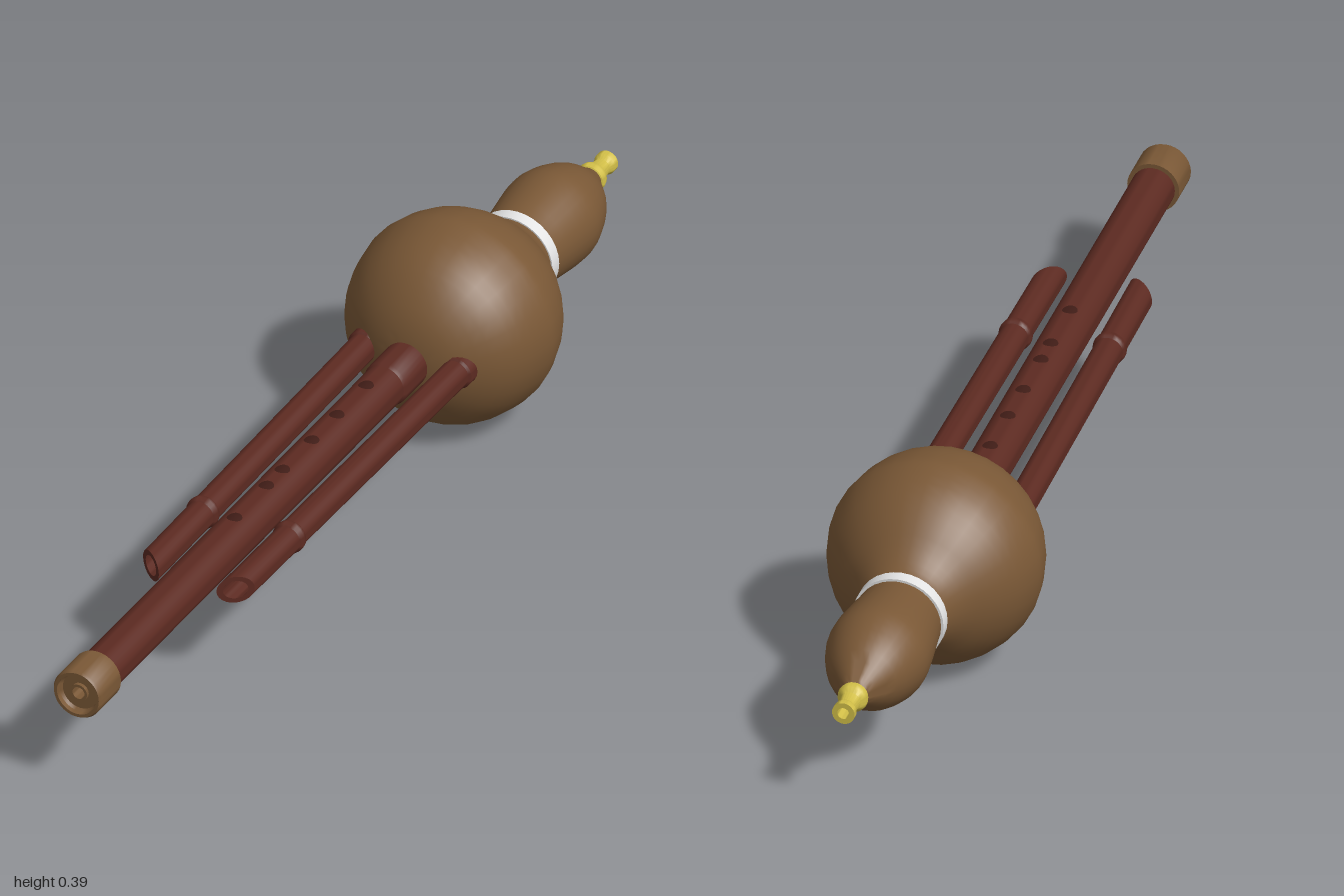
import * as THREE from 'three';
import { toCreasedNormals } from 'three/addons/utils/BufferGeometryUtils.js';

const material = (name, color) => {
  const m = new THREE.MeshStandardMaterial({ color });
  m.name = name;
  return m;
};

// Revolve [radius, z] points around the z axis
function turned(points, segments = 32, crease = 0.6) {
  const g = new THREE.LatheGeometry(points.map(([r, z]) => new THREE.Vector2(r, z)), segments);
  g.rotateX(Math.PI / 2);
  return toCreasedNormals(g, crease);
}

export function createModel() {
  const gourdBrown = material('gourd brown', 0x7a5836);
  const redwood = material('redwood', 0x5c2a21);
  const holeDark = material('hole dark', 0x3f1c16);
  const brass = material('brass', 0xd2bf48);
  const white = material('white band', 0xe4e4e4);

  const model = new THREE.Group();
  const body = new THREE.Group();
  body.name = 'gourdFlute';
  body.position.y = 0.198;
  model.add(body);

  const add = (name, geometry, mat, parent = body) => {
    const mesh = new THREE.Mesh(geometry, mat);
    mesh.name = name;
    parent.add(mesh);
    return mesh;
  };

  // Gourd: small bulb, waist and large bulb as one smooth curve
  const curve = new THREE.SplineCurve([
    [0.018, -0.94], [0.034, -0.915], [0.07, -0.865], [0.09, -0.81], [0.093, -0.77],
    [0.086, -0.71], [0.079, -0.655], [0.085, -0.625], [0.108, -0.59], [0.145, -0.55],
    [0.178, -0.5], [0.195, -0.445], [0.195, -0.41], [0.181, -0.35], [0.15, -0.3],
    [0.1, -0.26], [0.05, -0.241], [0, -0.235],
  ].map(([r, z]) => new THREE.Vector2(r, z)));
  const gourdPoints = curve.getPoints(48).map((p) => [Math.max(p.x, 0), p.y]);
  add('gourd', turned(gourdPoints, 32, 1), gourdBrown);

  // Band around the waist
  add('waistBand', turned([
    [0.076, -0.66], [0.084, -0.66], [0.084, -0.635], [0.076, -0.635],
  ]), white);

  // Mouthpiece with a bored end
  add('mouthpiece', turned([
    [0, -0.96], [0.011, -0.96], [0.011, -1], [0.021, -1], [0.021, -0.988], [0.016, -0.978],
    [0.019, -0.956], [0.026, -0.948], [0.028, -0.94], [0.026, -0.932], [0.016, -0.925],
  ], 24), brass);

  // Main pipe and its collar at the gourd
  add('mainPipe', turned([[0, -0.3], [0.04, -0.3], [0.04, 0.93], [0, 0.93]]), redwood);
  add('mainPipeCollar', turned([
    [0.039, -0.25], [0.043, -0.25], [0.043, -0.165], [0.039, -0.155],
  ]), redwood);

  // End cap with stepped rings and a small bore
  add('endCap', turned([
    [0.039, 0.922], [0.048, 0.922], [0.048, 0.995], [0.045, 1], [0.039, 1], [0.039, 0.99],
    [0.035, 0.985], [0.017, 0.985], [0.017, 0.992], [0.012, 0.992], [0.012, 0.95], [0, 0.95],
  ]), gourdBrown);

  // Finger holes: thin discs wrapped over the top of the main pipe
  for (const z of [-0.09, 0.02, 0.115, 0.225, 0.285, 0.405]) {
    const disc = new THREE.RingGeometry(0, 0.014, 20, 3).rotateX(-Math.PI / 2);
    const p = disc.attributes.position;
    for (let i = 0; i < p.count; i++) p.setY(i, Math.sqrt(0.0408 ** 2 - p.getX(i) ** 2));
    disc.computeVertexNormals();
    add('fingerHole', disc, holeDark).position.z = z;
  }

  // Two hollow side pipes, slightly converging, with ends cut facing outward
  for (const side of [-1, 1]) {
    const pipe = new THREE.Group();
    pipe.name = side > 0 ? 'leftSidePipe' : 'rightSidePipe';
    pipe.position.x = side * 0.0905;
    pipe.rotation.y = -side * 0.01;
    body.add(pipe);

    const tube = turned([[0.027, -0.31], [0.027, 0.56], [0.018, 0.56], [0.018, -0.31]], 24);
    const p = tube.attributes.position;
    for (let i = 0; i < p.count; i++) {
      if (p.getZ(i) > 0.5) p.setZ(i, 0.56 - side * 0.8 * p.getX(i));
    }
    add('sideTube', toCreasedNormals(tube, 0.6), redwood, pipe);

    add('tubeRing', turned([
      [0.026, 0.35], [0.03, 0.354], [0.031, 0.361], [0.03, 0.368], [0.026, 0.372],
    ], 24, 1), redwood, pipe);
    add('tubeCollar', turned([
      [0.026, -0.28], [0.031, -0.28], [0.031, -0.255], [0.026, -0.25],
    ], 24), redwood, pipe);
  }
  return model;
}
